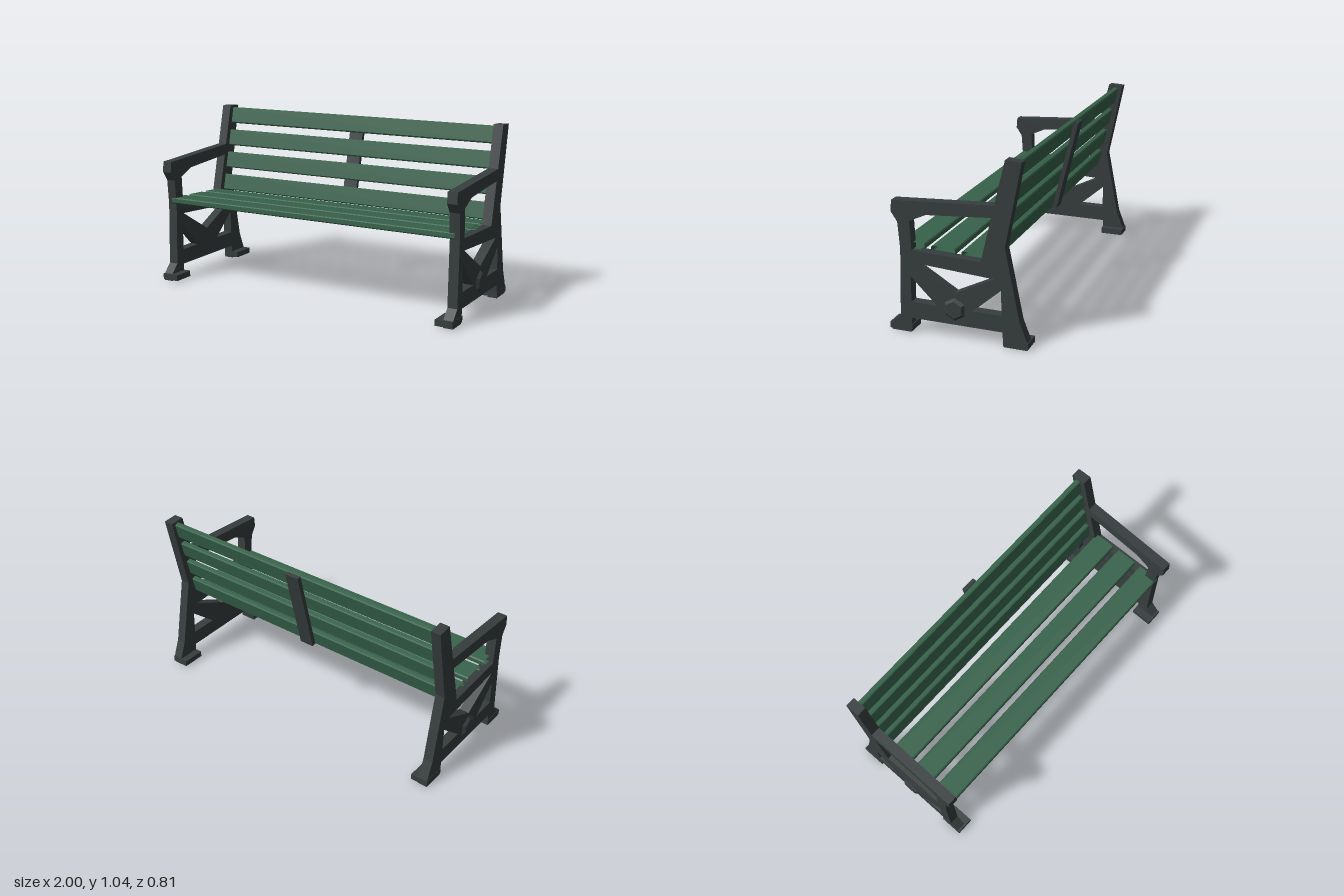
import * as THREE from 'three';

const iron = new THREE.MeshStandardMaterial({ name: 'darkIron', color: 0x373d3e });
const wood = new THREE.MeshStandardMaterial({ name: 'greenWood', color: 0x37624b, side: THREE.DoubleSide });

// Side frame outline and openings as (z, y) points
const outline = [[-0.278, 1.04], [-0.368, 1.035], [-0.275, 0.565], [-0.357, 0.155], [-0.4, 0.045], [-0.4, 0],
  [-0.265, 0], [-0.258, 0.085], [0.272, 0.085], [0.28, 0], [0.395, 0], [0.393, 0.045], [0.34, 0.1],
  [0.329, 0.48], [0.341, 0.635], [0.378, 0.69], [0.373, 0.755], [-0.217, 0.79]];
const openings = [
  [[0.27, 0.648], [0.172, 0.693], [-0.2, 0.722], [-0.138, 0.468], [0.262, 0.483]],
  [[0.262, 0.413], [-0.215, 0.383], [0.018, 0.267]],
  [[0.272, 0.33], [0.272, 0.18], [0.118, 0.18]],
  [[-0.252, 0.323], [-0.255, 0.18], [-0.088, 0.18]],
];
const toPoints = (list) => list.map(([z, y]) => new THREE.Vector2(z, y));

function part(name, geometry, material, parent) {
  const mesh = new THREE.Mesh(geometry, material);
  mesh.name = name;
  parent.add(mesh);
  return mesh;
}

// Chamfered plank along x with open ends, w wide in z and t thick in y
function plank(length, w, t, c) {
  const a = w / 2, b = t / 2, h = length / 2, pos = [];
  const ring = [[-a + c, -b], [a - c, -b], [a, -b + c], [a, b - c], [a - c, b], [-a + c, b], [-a, b - c], [-a, -b + c]];
  ring.forEach(([z0, y0], i) => {
    const [z1, y1] = ring[(i + 1) % ring.length];
    pos.push(h, y0, z0, h, y1, z1, -h, y1, z1, h, y0, z0, -h, y1, z1, -h, y0, z0);
  });
  const g = new THREE.BufferGeometry();
  g.setAttribute('position', new THREE.Float32BufferAttribute(pos, 3));
  g.computeVertexNormals();
  return g;
}

function sideFrame(side) {
  const group = new THREE.Group();
  group.name = side > 0 ? 'leftEnd' : 'rightEnd';
  const inner = 0.925, outer = 0.984, depth = outer - inner;

  // Cast frame: leg, armrest, brace and back post in one piece
  const shape = new THREE.Shape(toPoints(outline));
  openings.forEach((o) => shape.holes.push(new THREE.Path(toPoints(o))));
  const frame = new THREE.ExtrudeGeometry(shape, { depth, bevelEnabled: false });
  frame.translate(0, 0, -depth / 2).rotateY(-Math.PI / 2).translate(side * (inner + outer) / 2, 0, 0);
  part('frame', frame, iron, group);

  // Hexagonal boss on the outer face
  const boss = new THREE.CylinderGeometry(0.05, 0.069, 0.018, 6, 1, false, Math.PI / 2).toNonIndexed();
  boss.computeVertexNormals();
  boss.rotateZ(-side * Math.PI / 2).translate(side * 0.991, 0.176, 0.016);
  part('boss', boss, iron, group);

  // Foot pads reaching inward
  for (const [name, z0, z1] of [['frontFoot', 0.27, 0.405], ['backFoot', -0.405, -0.262]]) {
    const pad = new THREE.BoxGeometry(0.106, 0.036, z1 - z0);
    pad.translate(side * 0.933, 0.026, (z0 + z1) / 2);
    part(name, pad, iron, group);
  }
  return group;
}

export function createModel() {
  const model = new THREE.Group();
  model.name = 'bench';
  model.add(sideFrame(1), sideFrame(-1));

  // Seat slats, rising slightly toward the front
  const seatTilt = 0.055;
  for (const z of [0.267, 0.09, -0.086]) {
    const slat = part('seatSlat', plank(1.91, 0.138, 0.036, 0.006), wood, model);
    slat.position.set(0, 0.502 + (z - 0.267) * seatTilt, z);
    slat.rotation.x = -seatTilt;
  }

  // Backrest slats, leaning back
  const lean = 0.24, angle = Math.atan(lean);
  const frontZ = (y) => -0.18 - lean * (y - 0.485);
  for (let i = 0; i < 4; i++) {
    const y = 0.538 + i * 0.145;
    const slat = part('backSlat', plank(1.91, 0.104, 0.034, 0.006), wood, model);
    slat.position.set(0, y, frontZ(y) - 0.0175);
    slat.rotation.x = Math.PI / 2 - angle;
  }

  // Centre strap behind the backrest
  const strap = part('backStrap', new THREE.BoxGeometry(0.09, 0.55, 0.026), iron, model);
  strap.position.set(0, 0.75, frontZ(0.75) - 0.048);
  strap.rotation.x = -angle;

  return model;
}
